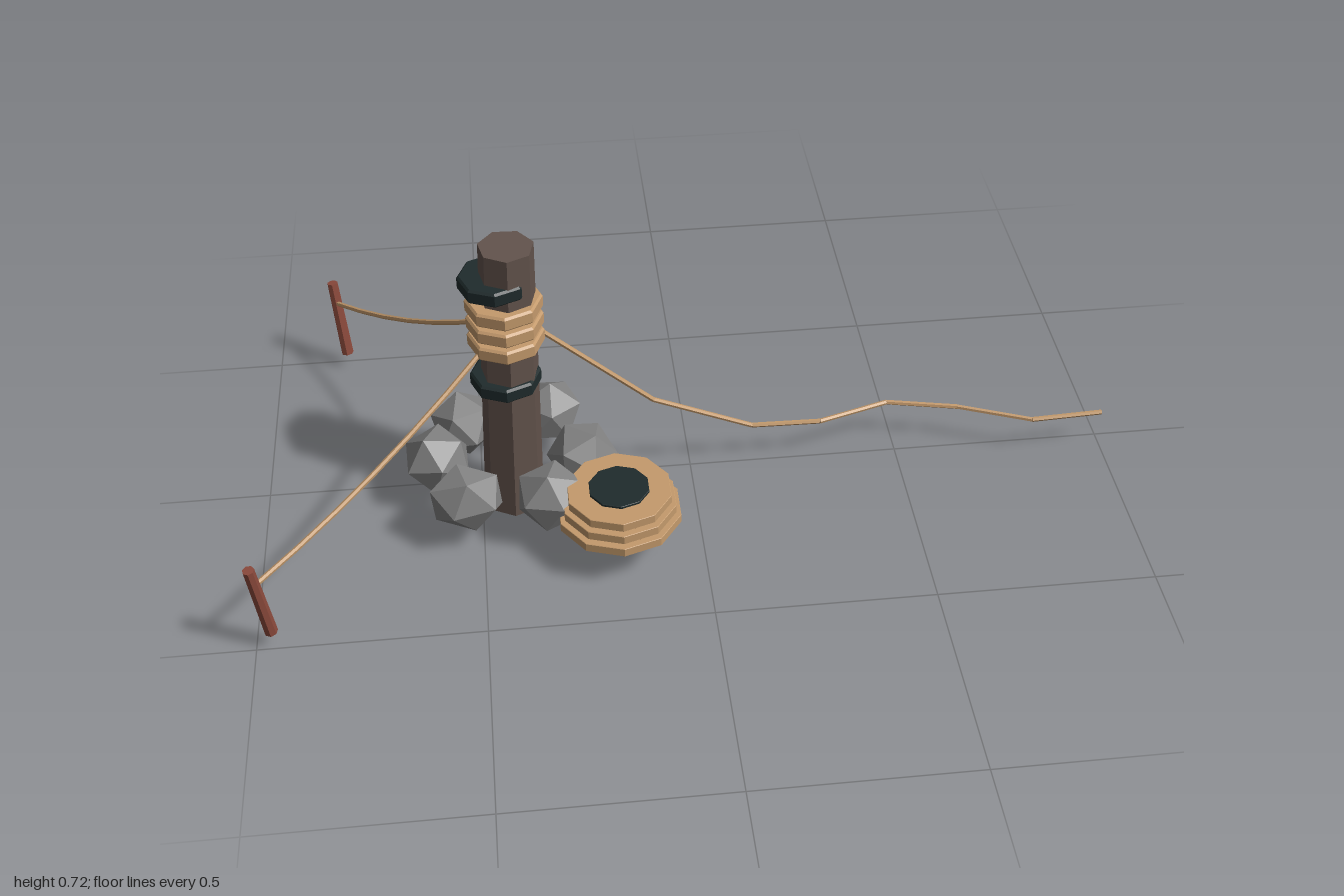
import * as THREE from 'three';

const mat = (name, color) => {
  const m = new THREE.MeshStandardMaterial({ color, flatShading: true });
  m.name = name;
  return m;
};

export function createModel() {
  const wood = mat('weathered wood', 0x62534c);
  const tan = mat('tan rope', 0xc49a6c);
  const dark = mat('dark band', 0x1f2b2c);
  const red = mat('red stake', 0x8c4a3c);
  const stone = mat('grey stone', 0x828282);
  const model = new THREE.Group();
  model.name = 'mooringPost';
  const V = (p) => new THREE.Vector3(...p);

  const add = (name, geo, material, parent = model) => {
    const m = new THREE.Mesh(geo, material);
    m.name = name;
    parent.add(m);
    return m;
  };

  // Tapered bar from point a to point b
  const bar = (name, a, b, ra, rb, sides, material, parent) => {
    const d = V(b).sub(V(a));
    const m = add(name, new THREE.CylinderGeometry(rb, ra, d.length(), sides), material, parent);
    m.position.copy(V(a)).addScaledVector(d, 0.5);
    m.quaternion.setFromUnitVectors(new THREE.Vector3(0, 1, 0), d.normalize());
    return m;
  };

  // Faceted disc with a small bevel on its rims
  const disc = (name, x, y, z, r, h, sides, material, bevel = 0.005) => {
    const k = h / 2;
    const profile = [[0, -k], [r - bevel, -k], [r, -k + bevel], [r, k - bevel], [r - bevel, k], [0, k]]
      .map((p) => new THREE.Vector2(...p));
    const m = add(name, new THREE.LatheGeometry(profile, sides), material);
    m.position.set(x, y, z);
    return m;
  };

  // Leaning post
  bar('post', [-0.425, 0.003, 0.068], [-0.405, 0.72, 0.07], 0.071, 0.062, 7, wood);

  // Dark bands; the upper one sits off centre so the post shows through
  disc('upperBand', -0.436, 0.631, 0.068, 0.08, 0.036, 8, dark);
  disc('lowerBand', -0.425, 0.366, 0.068, 0.08, 0.036, 8, dark);

  // Rope turns round the post
  for (const y of [0.479, 0.525, 0.571]) disc('ropeWrap', -0.418, y, 0.07, 0.086, 0.035, 8, tan);

  // Stacked rope coil with a dark core
  disc('coilCore', -0.19, 0.131, 0.26, 0.07, 0.1, 10, dark, 0.001);
  [[0.11, 0.143], [0.137, 0.132], [0.164, 0.121]].forEach(([y, r]) =>
    disc('coilTurn', -0.19, y, 0.26, r, 0.022, 10, tan, 0.001));

  // Rope made of straight lengths
  const rope = (name, pts, r) => {
    const g = new THREE.Group();
    g.name = name;
    model.add(g);
    for (let i = 0; i < pts.length - 1; i++) bar('ropeLength', pts[i], pts[i + 1], r, r, 6, tan, g);
  };

  // Sagging guy ropes and their stakes
  const guys = [
    { from: [-0.47, 0.476, 0.11], to: [-0.972, 0.193, 0.492], top: [-0.984, 0.246, 0.508], foot: [-0.964, 0.043, 0.489] },
    { from: [-0.46, 0.476, 0.0], to: [-0.835, 0.193, -0.488], top: [-0.845, 0.246, -0.506], foot: [-0.828, 0.043, -0.481] },
  ];
  for (const { from, to, top, foot } of guys) {
    const mid = V(from).lerp(V(to), 0.5);
    mid.y -= 0.055;
    const curve = new THREE.QuadraticBezierCurve3(V(from), mid, V(to));
    rope('guyRope', curve.getPoints(6).map((p) => p.toArray()), 0.006);
    bar('stake', foot, top, 0.015, 0.013, 7, red);
  }

  // Loose rope trailing away on the ground
  rope('looseRope', [
    [-0.35, 0.495, 0.068], [-0.09, 0.238, 0.033], [0.15, 0.1, -0.012], [0.315, 0.097, -0.012],
    [0.487, 0.097, -0.065], [0.655, 0.096, -0.03], [0.825, 0.095, 0.037], [0.998, 0.094, 0.027],
  ], 0.006);

  // Ring of stones round the foot: x, z, half width, half depth, turn
  const stones = [
    [-0.535, -0.065, 0.08, 0.08, 0.4], [-0.332, -0.09, 0.085, 0.082, 1.3],
    [-0.597, 0.06, 0.083, 0.083, 2.2], [-0.262, 0.078, 0.083, 0.08, 0.9],
    [-0.533, 0.2, 0.092, 0.076, 1.8], [-0.342, 0.215, 0.086, 0.08, 2.9],
  ];
  for (const [x, z, w, d, turn] of stones) {
    const geo = new THREE.IcosahedronGeometry(1, 0);
    geo.rotateX(turn * 1.7).rotateY(turn).scale(w, 0.082, d);
    add('stone', geo, stone).position.set(x, 0.128, z);
  }

  return model;
}
